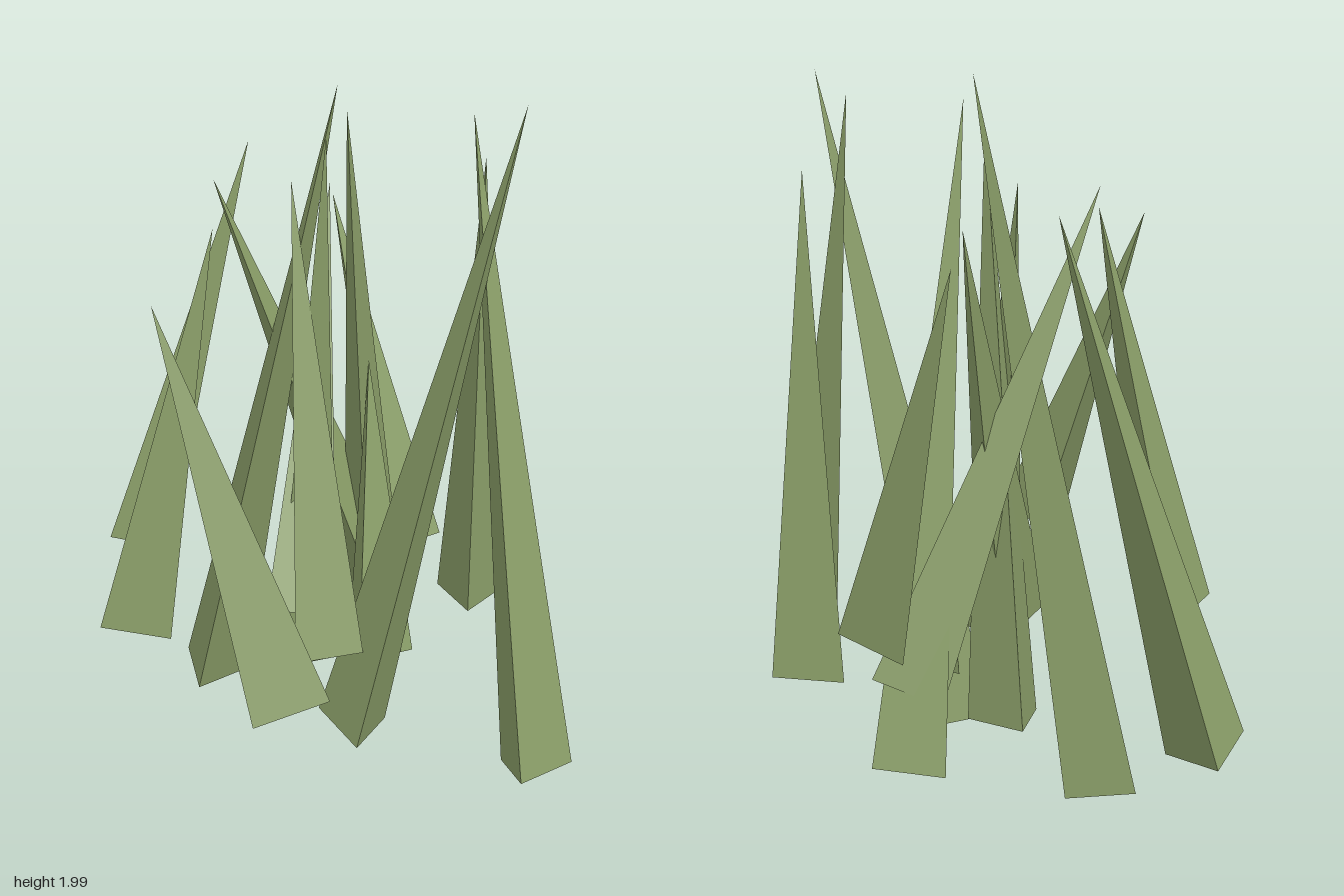
import * as THREE from 'three';

// Each blade: base centre, tip, and heading (degrees) of one base corner
const BLADES = [
  [[-0.70, 0.33, -0.71], [-0.31, 1.70, -0.77], -44],
  [[-0.527, 0.405, 0.123], [-0.28, 1.61, 0.08], -50],
  [[0.015, 0.487, 0.73], [-0.35, 1.53, 0.59], -45],
  [[0.66, 0.093, 0.29], [0.43, 1.93, -0.02], -13],
  [[0.117, 0.045, 0.01], [0.575, 1.98, 0.15], 11],
  [[0.45, 0.32, -0.39], [0.46, 1.745, -0.35], 0],
  [[0.23, 0.465, -0.46], [-0.03, 1.55, -0.70], -15],
  [[-0.39, 0.023, -0.353], [0.05, 1.99, -0.08], -9],
  [[-0.085, 0.155, -0.235], [0.02, 1.85, -0.065], 90],
  [[-0.045, 0.40, -0.03], [-0.02, 1.62, -0.525], -57],
  [[0.14, 0.09, -0.47], [0.075, 1.92, -0.09], 0],
  [[0.16, 0.31, -0.42], [-0.32, 1.70, -0.165], 5],
  [[0.03, 0.32, 0.077], [-0.09, 1.70, -0.15], -35],
  [[0.17, 0.265, -0.055], [0.13, 1.145, -0.245], -15],
];
const RADIUS = 0.122;

// Three-sided spike with its base centre at the origin, leaning toward its tip
function makeBlade(base, tip, heading, material) {
  const start = new THREE.Vector3(...base);
  const axis = new THREE.Vector3(...tip).sub(start);
  const height = axis.length();
  const geometry = new THREE.ConeGeometry(RADIUS, height, 3);
  geometry.translate(0, height / 2, 0);
  geometry.rotateY(THREE.MathUtils.degToRad(heading));
  const blade = new THREE.Mesh(geometry, material);
  blade.quaternion.setFromUnitVectors(new THREE.Vector3(0, 1, 0), axis.normalize());
  blade.position.copy(start);
  return blade;
}

export function createModel() {
  const group = new THREE.Group();
  group.name = 'grassTuft';
  const grass = new THREE.MeshStandardMaterial({ color: 0x8b9f69 });
  grass.name = 'mossGreen';
  grass.flatShading = true;

  BLADES.forEach(([base, tip, heading], i) => {
    const blade = makeBlade(base, tip, heading, grass);
    blade.name = `grassBlade${i + 1}`;
    group.add(blade);
  });
  return group;
}
